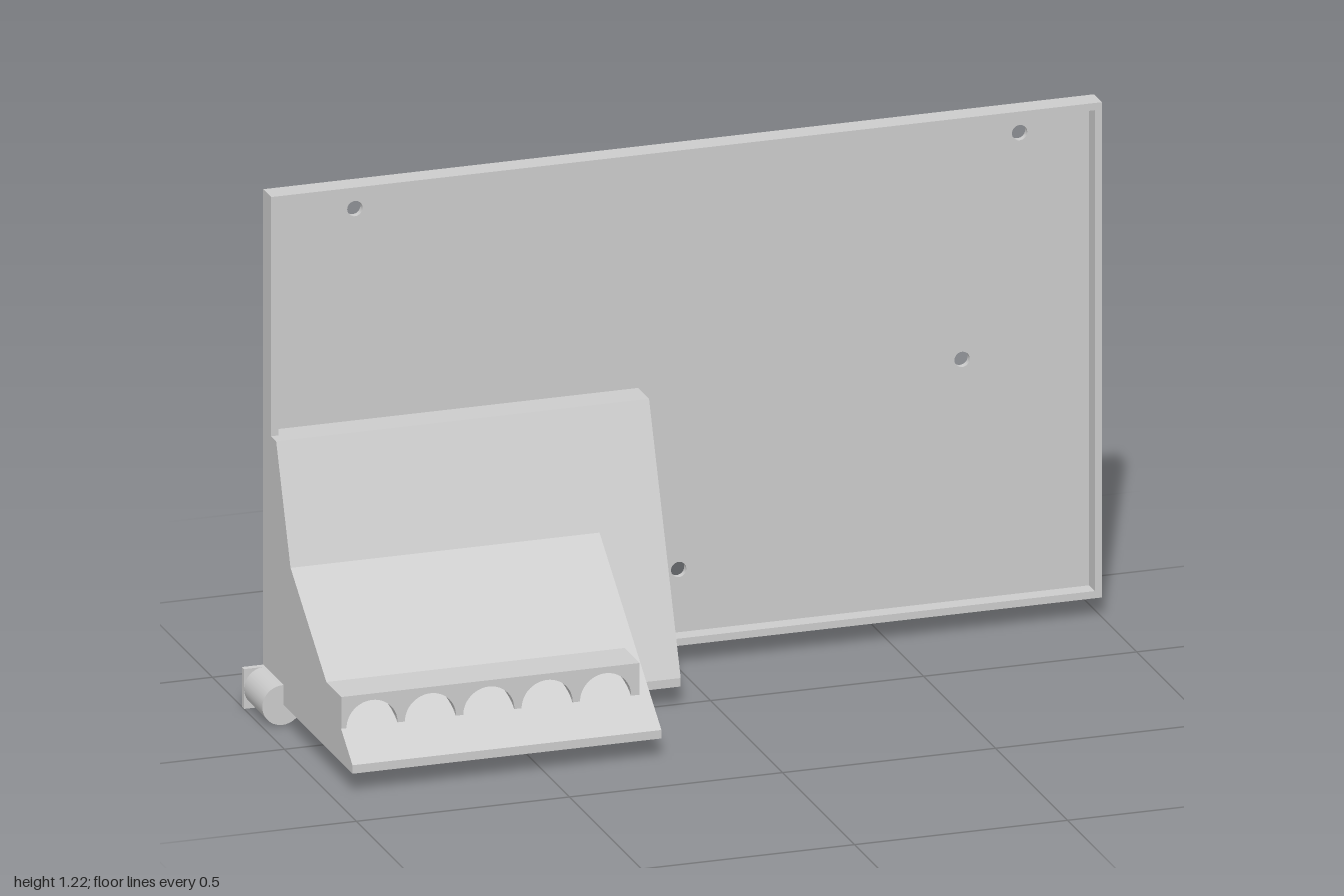
import * as THREE from 'three';

const LEFT = -0.95, RIGHT = 1, BOTTOM = 0.05, TOP = 1.22;
const BACK = -0.295, FLOOR = -0.28, FRONT = -0.24, RIM = 0.017;

export function createModel() {
  const model = new THREE.Group();
  const material = new THREE.MeshStandardMaterial({ color: 0xcccccc });

  const add = (name, geometry) => {
    const mesh = new THREE.Mesh(geometry, material);
    mesh.name = name;
    model.add(mesh);
    return mesh;
  };
  const outline = (points) => new THREE.Shape(points.map(([x, y]) => new THREE.Vector2(x, y)));
  const rect = (x0, y0, x1, y1) => outline([[x0, y0], [x1, y0], [x1, y1], [x0, y1]]);

  // Extrude an x-y shape from z0 to z1
  const slab = (shape, z0, z1) =>
    new THREE.ExtrudeGeometry(shape, { depth: z1 - z0, bevelEnabled: false, curveSegments: 24 })
      .translate(0, 0, z0);

  // Extrude a [z, y] side profile from x0 to x1
  const sideProfile = (points, x0, x1) =>
    new THREE.ExtrudeGeometry(outline(points.map(([z, y]) => [-z, y])), { depth: x1 - x0, bevelEnabled: false })
      .rotateY(Math.PI / 2).translate(x0, 0, 0);

  // Round bar lying along z
  const rod = (x, y, z0, z1, rBack, rFront, sides) =>
    new THREE.CylinderGeometry(rFront, rBack, z1 - z0, sides)
      .rotateX(Math.PI / 2).translate(x, y, (z0 + z1) / 2);

  // Back panel with four screw holes
  const panel = rect(LEFT, BOTTOM, RIGHT, TOP);
  for (const [x, y] of [[-0.74, 1.155], [0.82, 1.155], [0.685, 0.635], [0.02, 0.215]]) {
    panel.holes.push(new THREE.Path().absarc(x, y, 0.018, 0, Math.PI * 2, true));
  }
  add('backPanel', slab(panel, BACK, FLOOR));

  // Raised rim around the panel
  const rim = rect(LEFT, BOTTOM, RIGHT, TOP);
  rim.holes.push(rect(LEFT + RIM, BOTTOM + RIM, RIGHT - RIM, TOP - RIM));
  add('panelRim', slab(rim, FLOOR, FRONT));

  // Steep support wedge and the shallower ramp in front of it
  add('supportWedge', sideProfile(
    [[FLOOR, 0.05], [FLOOR, 0.655], [-0.205, 0.655], [0.015, 0.07], [0.015, 0.05]], LEFT, -0.075));
  add('frontRamp', sideProfile(
    [[-0.105, 0.05], [-0.105, 0.39], [0.325, 0.07], [0.325, 0.05]], LEFT, -0.225));

  // Holder bar with five arched slots open at the bottom
  const y0 = 0.13, r = 0.06, pitch = 0.137;
  const bar = new THREE.Shape();
  bar.moveTo(LEFT, y0);
  for (let i = 0; i < 5; i++) {
    const cx = -0.878 + i * pitch;
    bar.lineTo(cx - r, y0);
    bar.absarc(cx, y0, r, Math.PI, 0, true);
  }
  bar.lineTo(-0.25, y0);
  bar.lineTo(-0.25, 0.205);
  bar.lineTo(LEFT, 0.205);
  bar.closePath();
  add('archedHolder', slab(bar, 0.142, 0.248));

  // Corner fitting: square flange with a round barrel
  add('cornerFlange', slab(rect(-1, 0.003, -0.905, 0.097), BACK, FLOOR));
  add('cornerBarrel', rod(-0.953, 0.05, FLOOR, -0.153, 0.047, 0.047, 40));

  // Tapered pegs on the back
  for (const [x, y] of [[-0.515, 0.343], [-0.59, 0.245], [-0.6, 0.128], [-0.955, 0.05]]) {
    add('backPeg', rod(x, y, -0.325, BACK, 0.009, 0.014, 20));
  }

  return model;
}
